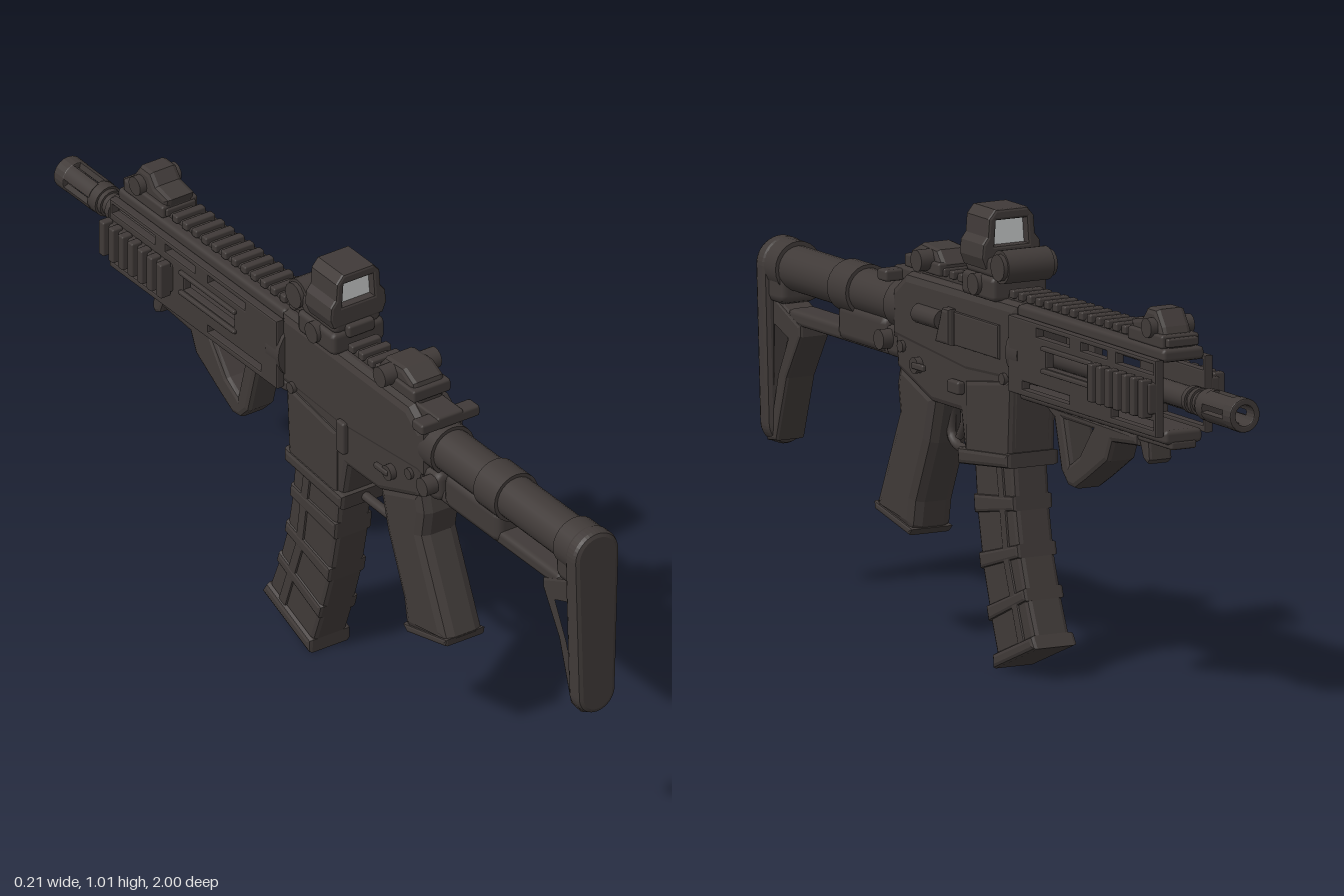
import * as THREE from 'three';
import { RoundedBoxGeometry } from 'three/addons/geometries/RoundedBoxGeometry.js';

export function createModel() {
  const model = new THREE.Group();
  const body = new THREE.MeshStandardMaterial({ color: 0x403a38 });
  body.name = 'dark grey';
  const glass = new THREE.MeshStandardMaterial({ color: 0xc8caca });
  glass.name = 'pale glass';

  const add = (name, geo, x = 0, y = 0, z = 0, mat = body) => {
    const m = new THREE.Mesh(geo, mat);
    m.name = name;
    m.position.set(x, y, z);
    model.add(m);
    return m;
  };
  const box = (name, w, h, d, x, y, z, r = 0.006) =>
    add(name, new RoundedBoxGeometry(w, h, d, 1, Math.min(r, w / 3, h / 3, d / 3)), x, y, z);
  const tube = (name, r, z0, z1, y, x = 0, n = 20) =>
    add(name, new THREE.CylinderGeometry(r, r, Math.abs(z1 - z0), n).rotateX(Math.PI / 2), x, y, (z0 + z1) / 2);
  const knob = (name, r, w, x, y, z, n = 16) =>
    add(name, new THREE.CylinderGeometry(r, r, w, n).rotateZ(Math.PI / 2), x, y, z);
  const vec = (pts) => pts.map((p) => new THREE.Vector2(...p));
  const rect = (z0, z1, y0, y1) => [[z0, y0], [z1, y0], [z1, y1], [z0, y1]];
  const extrude = (shape, depth, b) => new THREE.ExtrudeGeometry(shape, {
    depth: depth - 2 * b, bevelEnabled: b > 0, bevelThickness: b, bevelSize: b,
    bevelOffset: -b, bevelSegments: 2, curveSegments: 10,
  }).translate(0, 0, b - depth / 2);
  // Side profile in (z, y), given a width along x
  const side = (name, pts, width, { x = 0, holes = [], b = 0.008 } = {}) => {
    const s = new THREE.Shape(vec(pts));
    holes.forEach((h) => s.holes.push(new THREE.Path(vec(h))));
    return add(name, extrude(s, width, b).rotateY(-Math.PI / 2), x);
  };

  // Stock: rounded butt pad, upper block, triangular strut
  const pad = new THREE.Shape();
  pad.moveTo(-0.05, 0.383);
  pad.absarc(0, 0.383, 0.05, Math.PI, 2 * Math.PI);
  pad.lineTo(0.06, 0.73);
  pad.absarc(0, 0.73, 0.06, 0, Math.PI);
  add('buttPad', extrude(pad, 0.045, 0.012), 0, 0, 0.975);
  tube('stockHead', 0.058, 0.91, 0.97, 0.73, 0, 24);
  box('stockHeadLower', 0.1, 0.1, 0.07, 0, 0.7, 0.935, 0.02);
  side('stockStrut', [[0.985, 0.34], [0.945, 0.345], [0.9, 0.49], [0.84, 0.59], [0.84, 0.615], [0.97, 0.67]], 0.075,
    { holes: [[[0.955, 0.4], [0.925, 0.49], [0.878, 0.585], [0.955, 0.612]]] });
  side('stockBrace', [[0.968, 0.47], [0.955, 0.45], [0.91, 0.585], [0.925, 0.6]], 0.03, { b: 0.004 });

  // Stock tube with collars and the guide rods below
  tube('stockTube', 0.05, 0.38, 0.93, 0.728, 0, 24);
  tube('tubeCollar', 0.058, 0.61, 0.69, 0.728, 0, 24);
  tube('receiverCollar', 0.058, 0.4, 0.45, 0.728, 0, 24);
  box('guideRod', 0.07, 0.035, 0.5, 0, 0.628, 0.65, 0.012);
  box('guideBlock', 0.085, 0.085, 0.21, 0, 0.655, 0.575, 0.02);
  box('guideFront', 0.1, 0.075, 0.07, 0, 0.65, 0.43, 0.02);
  for (const s of [-1, 1]) knob('guidePin', 0.022, 0.03, s * 0.06, 0.655, 0.44);

  // Receiver
  side('upperReceiver', [[0.42, 0.66], [0.42, 0.77], [0.36, 0.815], [-0.12, 0.82], [-0.12, 0.64], [0.1, 0.63]], 0.115, { b: 0.02 });
  side('lowerReceiver', [[0.41, 0.69], [0.4, 0.6], [0.25, 0.545], [0.13, 0.545], [0.11, 0.45], [-0.085, 0.47], [-0.1, 0.7]], 0.11, { b: 0.014 });
  side('magazineWell', [[0.1, 0.62], [0.1, 0.45], [-0.085, 0.468], [-0.095, 0.65]], 0.122, { b: 0.012 });
  side('magazineWellLip', [[0.125, 0.468], [0.12, 0.432], [-0.095, 0.455], [-0.095, 0.488]], 0.132, { b: 0.01 });
  side('ejectionCover', [[0.14, 0.69], [0.14, 0.765], [-0.05, 0.765], [-0.05, 0.69]], 0.012, { x: 0.058, b: 0.004 });
  side('caseDeflector', [[0.2, 0.69], [0.17, 0.77], [0.14, 0.77], [0.14, 0.69]], 0.035, { x: 0.06 });
  tube('forwardAssist', 0.022, 0.2, 0.3, 0.735, 0.055, 14);
  box('magazineRelease', 0.02, 0.03, 0.05, 0.063, 0.6, 0.13);
  box('boltCatch', 0.018, 0.08, 0.03, -0.06, 0.62, 0.12);
  for (const s of [-1, 1]) {
    knob('selectorPivot', 0.018, 0.02, s * 0.06, 0.62, 0.3);
    box('selectorLever', 0.012, 0.014, 0.05, s * 0.068, 0.62, 0.28);
    knob('receiverPin', 0.013, 0.012, s * 0.057, 0.65, 0.37, 12);
    knob('receiverPin', 0.013, 0.012, s * 0.06, 0.65, -0.07, 12);
  }
  box('chargingHandle', 0.07, 0.028, 0.12, 0, 0.803, 0.385);
  box('chargingLatch', 0.155, 0.026, 0.04, 0, 0.8, 0.425);

  // Trigger and guard
  const path = (pts) => new THREE.CatmullRomCurve3(pts.map(([z, y]) => new THREE.Vector3(0, y, z)));
  add('triggerGuard', new THREE.TubeGeometry(path([[0.25, 0.56], [0.255, 0.47], [0.23, 0.45], [0.17, 0.448], [0.11, 0.45]]), 20, 0.011, 8));
  add('trigger', new THREE.TubeGeometry(path([[0.21, 0.56], [0.2, 0.51], [0.222, 0.468]]), 10, 0.009, 8));

  // Pistol grip
  side('pistolGrip', [[0.4, 0.62], [0.415, 0.56], [0.405, 0.5], [0.5, 0.285], [0.495, 0.272], [0.35, 0.238], [0.335, 0.255], [0.325, 0.31], [0.265, 0.45], [0.235, 0.56]], 0.105, { b: 0.026 });
  side('gripCap', [[0.5, 0.288], [0.497, 0.27], [0.35, 0.235], [0.335, 0.25]], 0.105, { b: 0.006 });

  // Curved magazine with ribs and base plate
  const back = [[0.09, 0.47], [0.075, 0.33], [0.05, 0.21], [0.015, 0.1], [-0.018, 0.01]];
  const front = [[-0.083, 0.47], [-0.095, 0.36], [-0.115, 0.26], [-0.145, 0.17], [-0.185, 0.075]];
  side('magazine', [...back, ...front.slice().reverse()], 0.09, { b: 0.012 });
  const mix = (a, b, t) => [a[0] + (b[0] - a[0]) * t, a[1] + (b[1] - a[1]) * t];
  for (let i = 1; i < 4; i++)
    side('magazineRib', [mix(back[i], back[i - 1], 0.3), back[i], front[i], mix(front[i], front[i - 1], 0.3)], 0.102);
  side('magazineBase', [mix(back[4], back[3], 0.25), [-0.012, 0], [-0.192, 0.072], mix(front[4], front[3], 0.25)], 0.112, { b: 0.01 });
  for (const x of [-0.03, 0.03])
    side('magazineSpine', [mix(back[0], front[0], 0.6), mix(back[2], front[2], 0.6), mix(back[4], front[4], 0.6),
      mix(back[4], front[4], 0.75), mix(back[2], front[2], 0.75), mix(back[0], front[0], 0.75)], 0.04, { x, b: 0.004 });

  // Handguard: top, bottom and slotted side walls
  box('handguardTop', 0.105, 0.03, 0.63, 0, 0.807, -0.425, 0.01);
  box('handguardBottom', 0.095, 0.032, 0.63, 0, 0.626, -0.425, 0.01);
  const slots = [
    rect(-0.37, -0.23, 0.77, 0.788), rect(-0.53, -0.42, 0.77, 0.788), rect(-0.73, -0.57, 0.768, 0.79),
    rect(-0.46, -0.27, 0.708, 0.742), rect(-0.37, -0.17, 0.645, 0.662), rect(-0.73, -0.55, 0.645, 0.665),
  ];
  for (const s of [-1, 1]) {
    side('handguardWall', [[-0.11, 0.63], [-0.11, 0.8], [-0.74, 0.8], [-0.74, 0.63]], 0.022, { x: s * 0.062, holes: slots, b: 0.004 });
    box('slotFrame', 0.012, 0.01, 0.21, s * 0.075, 0.75, -0.365);
    box('slotFrame', 0.012, 0.01, 0.21, s * 0.075, 0.7, -0.365);
    box('sideRail', 0.025, 0.07, 0.24, s * 0.078, 0.717, -0.62);
    for (let i = 0; i < 7; i++) box('sideRailRib', 0.028, 0.085, 0.02, s * 0.091, 0.717, -0.51 - i * 0.036, 0.004);
  }
  tube('barrelNut', 0.075, -0.1, -0.15, 0.715, 0, 20);
  box('bottomRail', 0.065, 0.02, 0.5, 0, 0.608, -0.49);

  // Top rail with teeth
  box('topRail', 0.06, 0.02, 1.1, 0, 0.822, -0.18);
  for (let i = 0; i < 30; i++) box('railTooth', 0.078, 0.019, 0.02, 0, 0.834, 0.34 - i * 0.0368, 0.004);

  // Barrel and slotted muzzle
  tube('barrel', 0.026, -0.1, -0.86, 0.715);
  for (const z of [-0.785, -0.81, -0.84]) tube('barrelRing', 0.031, z + 0.007, z - 0.007, 0.715);
  tube('muzzleCollar', 0.036, -0.845, -0.875, 0.715);
  for (let k = 0; k < 4; k++) {
    const a = k * Math.PI / 2 + Math.PI / 4;
    const prong = new THREE.Shape();
    prong.absarc(0, 0, 0.037, a - 0.52, a + 0.52, false);
    prong.absarc(0, 0, 0.023, a + 0.52, a - 0.52, true);
    add('muzzleProng', extrude(prong, 0.1, 0), 0, 0.715, -0.92);
  }
  const ring = new THREE.Shape().absarc(0, 0, 0.038, 0, Math.PI * 2);
  ring.holes.push(new THREE.Path().absarc(0, 0, 0.023, 0, Math.PI * 2, true));
  add('muzzleRing', extrude(ring, 0.036, 0.003), 0, 0.715, -0.982);

  // Angled foregrip
  side('foregrip', [[-0.2, 0.615], [-0.24, 0.59], [-0.27, 0.48], [-0.3, 0.45], [-0.33, 0.447], [-0.38, 0.475], [-0.47, 0.53], [-0.49, 0.575], [-0.6, 0.585], [-0.6, 0.615]], 0.075,
    { holes: [[[-0.285, 0.592], [-0.405, 0.592], [-0.35, 0.525], [-0.31, 0.5]]], b: 0.012 });
  side('foregripStop', [[-0.59, 0.61], [-0.61, 0.56], [-0.63, 0.55], [-0.64, 0.56], [-0.635, 0.61]], 0.06);

  // Folding sights
  side('rearSight', [[0.37, 0.83], [0.36, 0.865], [0.32, 0.885], [0.25, 0.88], [0.225, 0.85], [0.225, 0.83]], 0.085, { b: 0.012 });
  knob('rearSightKnob', 0.024, 0.15, 0, 0.855, 0.28);
  box('rearSightBase', 0.1, 0.03, 0.15, 0, 0.84, 0.3);
  side('frontSight', [[-0.58, 0.83], [-0.57, 0.865], [-0.62, 0.875], [-0.64, 0.9], [-0.68, 0.9], [-0.705, 0.865], [-0.72, 0.83]], 0.075, { b: 0.012 });
  knob('frontSightKnob', 0.022, 0.11, 0, 0.86, -0.67);
  box('frontSightBase', 0.095, 0.03, 0.15, 0, 0.835, -0.65);

  // Optic: mount, body, windowed hood, lens plates
  box('opticMount', 0.14, 0.055, 0.14, 0, 0.84, 0.03, 0.012);
  for (const s of [-1, 1]) knob('mountScrew', 0.024, 0.02, s * 0.07, 0.845, 0.03);
  box('opticLowerBody', 0.125, 0.045, 0.13, 0, 0.885, 0.03, 0.012);
  box('opticRearLip', 0.07, 0.03, 0.02, 0, 0.868, 0.1);
  const hood = new THREE.Shape(vec([[-0.065, 0.88], [0.065, 0.88], [0.075, 0.905], [0.072, 0.935], [0.06, 0.95], [0.057, 0.99], [0.04, 1.01], [-0.04, 1.01], [-0.057, 0.99], [-0.06, 0.95], [-0.072, 0.935], [-0.075, 0.905]]));
  hood.holes.push(new THREE.Path(vec([[-0.042, 0.93], [0.042, 0.93], [0.038, 0.986], [-0.038, 0.986]])));
  add('opticHood', extrude(hood, 0.1, 0.006), 0, 0, 0.047);
  for (const z of [0.075, 0.02]) add('lens', new THREE.BoxGeometry(0.088, 0.06, 0.006), 0, 0.957, z, glass);
  knob('batteryTube', 0.037, 0.115, 0, 0.893, -0.052, 20);
  knob('batteryCap', 0.03, 0.135, 0, 0.893, -0.055, 12);

  return model;
}
